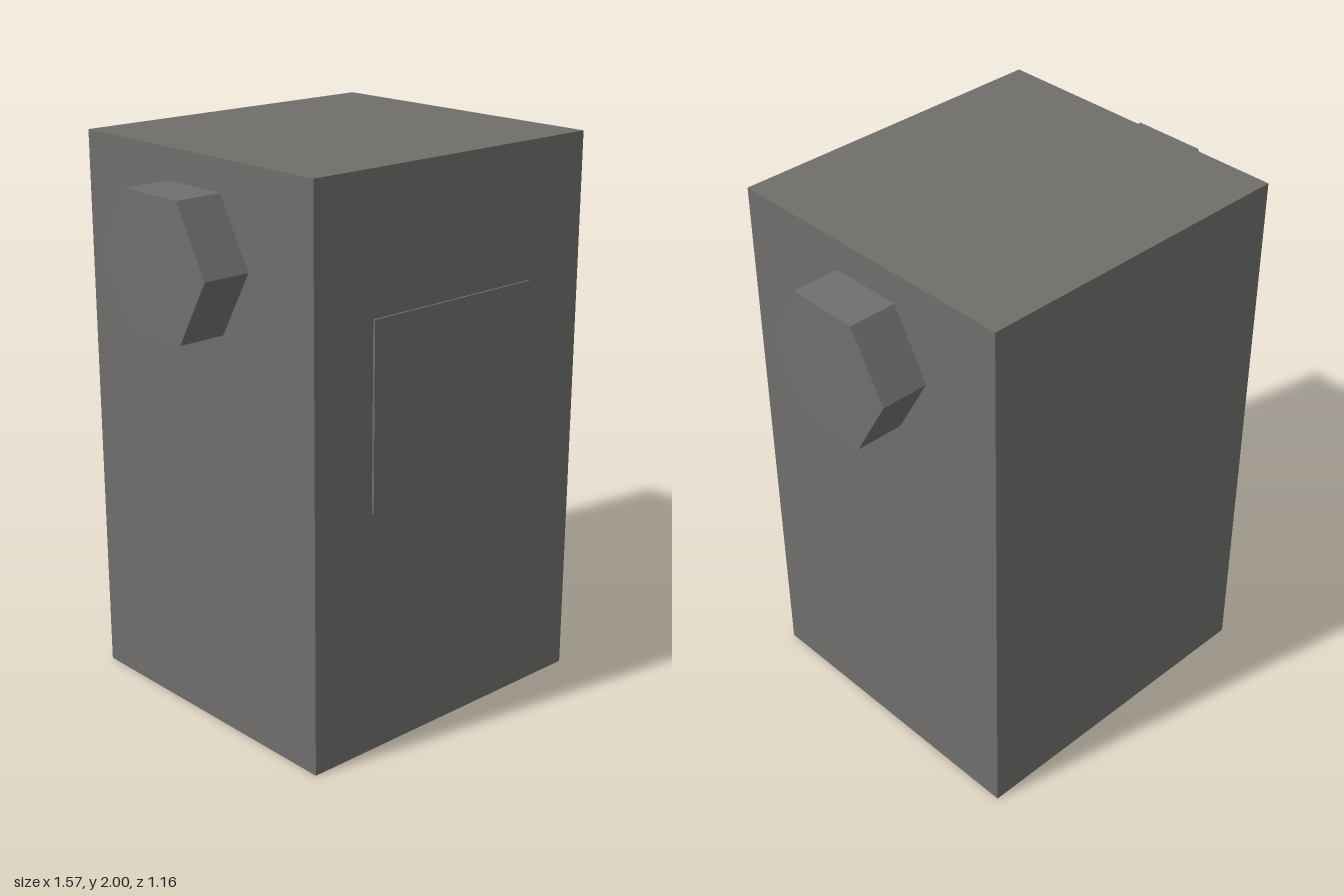
import * as THREE from 'three';

export function createModel() {
  const group = new THREE.Group();
  const bodyMaterial = new THREE.MeshStandardMaterial({ color: 0x6f6e6b, flatShading: true });
  const knobMaterial = new THREE.MeshStandardMaterial({ color: 0x6e706e, flatShading: true });

  function add(name, geometry, material, x, y, z) {
    const mesh = new THREE.Mesh(geometry, material);
    mesh.name = name;
    mesh.position.set(x, y, z);
    group.add(mesh);
    return mesh;
  }

  // Main upright box
  add('body', new THREE.BoxGeometry(1.226, 2, 1.152), bodyMaterial, 0, 1, -0.005);

  // Thin raised plate on the front
  add('frontPanel', new THREE.BoxGeometry(0.73, 0.655, 0.02), bodyMaterial, 0, 1.195, 0.569);

  // Hexagonal knobs, one on each side, with corners pointing to front and back
  for (const [side, name] of [[1, 'leftKnob'], [-1, 'rightKnob']]) {
    const geometry = new THREE.CylinderGeometry(0.269, 0.269, 0.187, 6);
    const knob = add(name, geometry, knobMaterial, side * 0.6935, 1.656, -0.005);
    knob.rotation.z = -side * Math.PI / 2;
  }

  return group;
}
